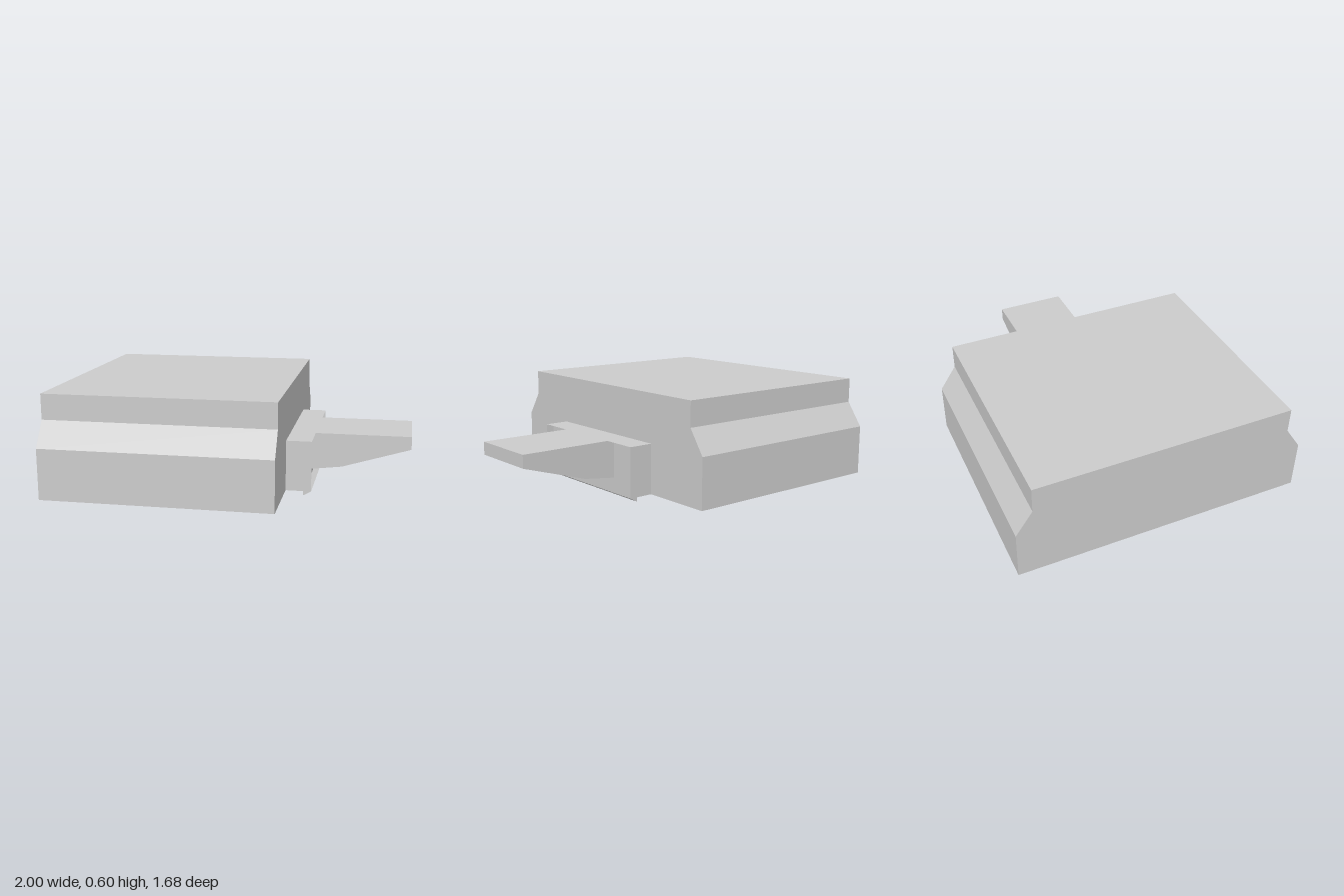
import * as THREE from 'three';

export function createModel() {
  const group = new THREE.Group();
  const grey = new THREE.MeshStandardMaterial({ color: 0xcccccc, side: THREE.DoubleSide, flatShading: true });
  grey.name = 'plain grey';

  const add = (name, geometry) => {
    const mesh = new THREE.Mesh(geometry, grey);
    mesh.name = name;
    group.add(mesh);
    return mesh;
  };
  const outline = (points) => new THREE.Shape(points.map(([a, b]) => new THREE.Vector2(a, b)));
  const prism = (points, depth) =>
    new THREE.ExtrudeGeometry(outline(points), { depth, bevelEnabled: false });

  // Thin sheet running across z between two points of the side profile
  const sheet = (name, [x0, y0], [x1, y1], half) => {
    const g = new THREE.BufferGeometry();
    g.setAttribute('position', new THREE.Float32BufferAttribute(
      [x0, y0, half, x1, y1, half, x1, y1, -half, x0, y0, -half], 3));
    g.setIndex([0, 1, 2, 0, 2, 3]);
    g.computeVertexNormals();
    return add(name, g);
  };
  // Matching flat cheeks on both sides
  const cheeks = (name, points, half) => {
    for (const side of [1, -1]) {
      const g = new THREE.ShapeGeometry(outline(points));
      if (side < 0) g.rotateY(Math.PI).scale(-1, 1, 1);
      add(name, g.translate(0, 0, side * half));
    }
  };

  // Main block with shouldered sides, extruded along x
  const body = prism([
    [-0.84, 0.025], [0.84, 0.025], [0.84, 0.315], [0.745, 0.455],
    [0.745, 0.6], [-0.745, 0.6], [-0.745, 0.455], [-0.84, 0.315],
  ], 1.305);
  add('body', body.rotateY(Math.PI / 2).translate(-1, 0, 0));

  // Collar block, then a thin skirt standing out around its end
  const half = 0.42;
  add('collar', new THREE.BoxGeometry(0.1, 0.29, half * 2).translate(0.355, 0.17, 0));
  sheet('collarTopSkirt', [0.405, 0.315], [0.45, 0.315], half);
  sheet('collarLipBack', [0.405, 0.025], [0.405, 0], half);
  sheet('collarLip', [0.405, 0], [0.45, 0.025], half);
  cheeks('collarSideSkirt', [[0.405, 0], [0.45, 0.025], [0.45, 0.315], [0.405, 0.315]], half);

  // Tongue with a hollow under its tip, closed by side webs
  add('tongue', prism([
    [0.405, 0.095], [0.605, 0.12], [0.735, 0.235], [1, 0.24], [1, 0.315], [0.405, 0.315],
  ], 0.42).translate(0, 0, -0.21));
  cheeks('tongueWeb', [[0.605, 0.12], [1, 0.24], [0.735, 0.235]], 0.21);

  return group;
}
